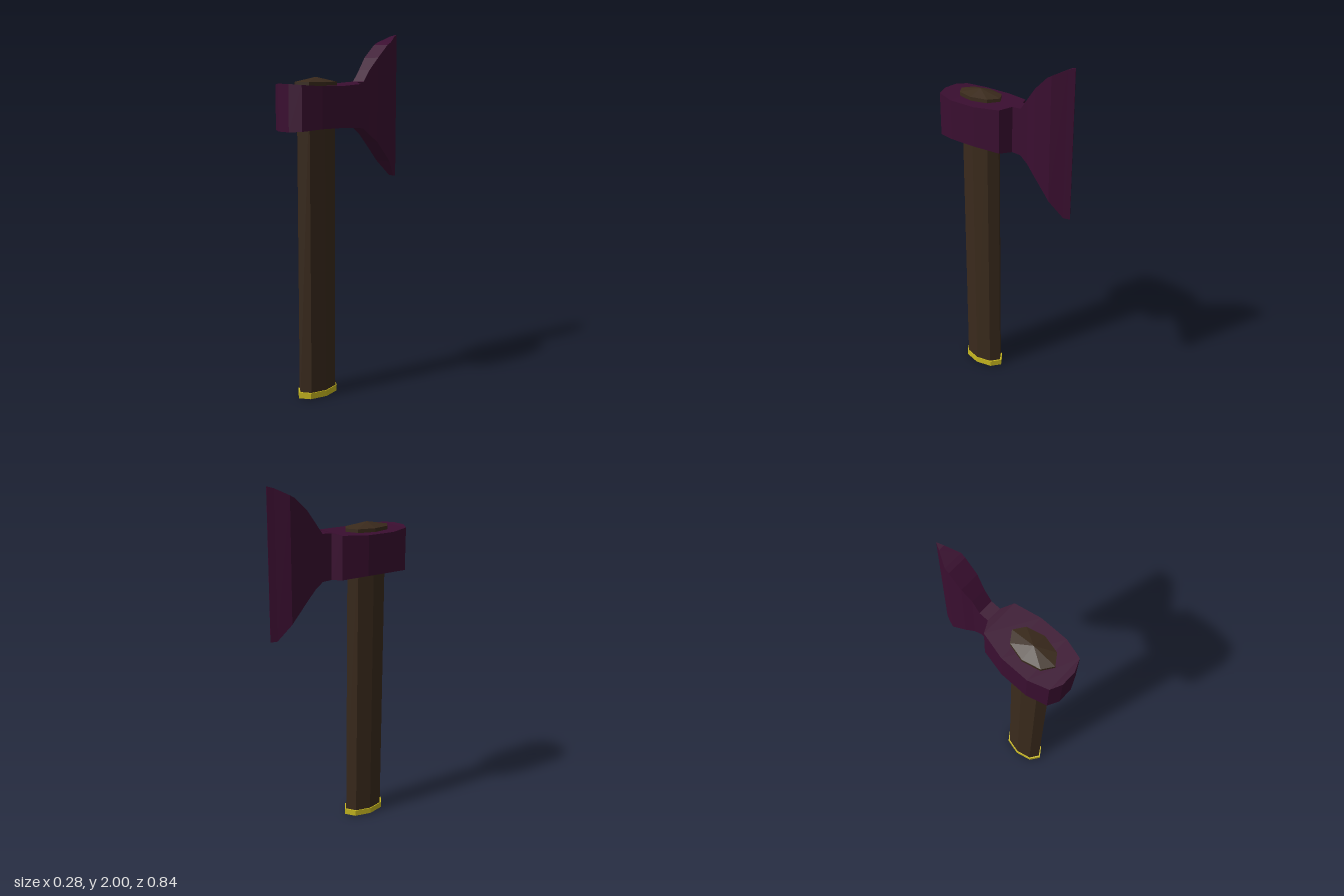
import * as THREE from 'three';

const PURPLE = 0x3a0e30, WOOD = 0x3a2a1c, GOLD = 0xc8b820;
const CX = -0.006, CZ = 0.196; // handle axis

function makeMesh(name, geometry, color) {
  const material = new THREE.MeshStandardMaterial({ color, flatShading: true });
  const mesh = new THREE.Mesh(geometry, material);
  mesh.name = name;
  return mesh;
}

// Eight-sided oval column between two heights, rx wide and rz deep
function oval(name, color, y0, y1, rx, rz, top = 1) {
  const geometry = new THREE.CylinderGeometry(top, 1, y1 - y0, 8);
  geometry.scale(rx, 1, rz);
  geometry.translate(CX, (y0 + y1) / 2, CZ);
  return makeMesh(name, geometry, color);
}

// Joins rectangular cross-sections [z, xMin, xMax, yMin, yMax], ordered from front to back
function loft(sections) {
  const positions = [], index = [];
  for (const [z, x0, x1, y0, y1] of sections) {
    positions.push(x0, y0, z, x1, y0, z, x1, y1, z, x0, y1, z);
  }
  const quad = (a, b, c, d) => index.push(a, b, c, a, c, d);
  for (let s = 0; s < sections.length - 1; s++) {
    for (let k = 0; k < 4; k++) {
      const a = s * 4 + k, b = s * 4 + (k + 1) % 4;
      quad(a, a + 4, b + 4, b);
    }
  }
  const e = (sections.length - 1) * 4;
  quad(0, 1, 2, 3);
  quad(e + 3, e + 2, e + 1, e);
  const geometry = new THREE.BufferGeometry();
  geometry.setAttribute('position', new THREE.Float32BufferAttribute(positions, 3));
  geometry.setIndex(index);
  const flat = geometry.toNonIndexed();
  flat.computeVertexNormals();
  return flat;
}

export function createModel() {
  const axe = new THREE.Group();
  axe.name = 'axe';

  // Handle with its end band and the wedge poking out of the head
  axe.add(oval('handle', WOOD, 0.02, 1.72, 0.073, 0.125));
  axe.add(oval('endBand', GOLD, 0.002, 0.036, 0.078, 0.135));
  axe.add(oval('endPlate', PURPLE, 0, 0.01, 0.072, 0.126));
  axe.add(oval('wedge', WOOD, 1.70, 1.74, 0.082, 0.138));
  axe.add(oval('wedgeTip', WOOD, 1.74, 1.766, 0.082, 0.138, 0));

  // Head: blunt poll, wide eye, neck
  const head = loft([
    [0.418, -0.048, 0.037, 1.485, 1.732],
    [0.388, -0.108, 0.108, 1.49, 1.727],
    [0.278, -0.142, 0.141, 1.5, 1.72],
    [-0.03 + 0.145, -0.142, 0.141, 1.5, 1.72],
    [-0.03, -0.108, 0.108, 1.489, 1.727],
    [-0.06, -0.048, 0.037, 1.483, 1.734],
    [-0.115, -0.048, 0.037, 1.48, 1.737],
  ]);
  axe.add(makeMesh('head', head, PURPLE));

  // Blade flaring from the neck to a sharp edge
  const blade = loft([
    [-0.115, -0.048, 0.037, 1.48, 1.737],
    [-0.16, -0.048, 0.037, 1.445, 1.8],
    [-0.215, -0.061, 0.049, 1.397, 1.868],
    [-0.29, -0.061, 0.049, 1.31, 1.94],
    [-0.315, -0.061, 0.049, 1.28, 1.954],
    [-0.385, -0.023, 0.011, 1.19, 1.99],
    [-0.418, CX - 0.001, CX + 0.001, 1.186, 2],
  ]);
  axe.add(makeMesh('blade', blade, PURPLE));

  return axe;
}
